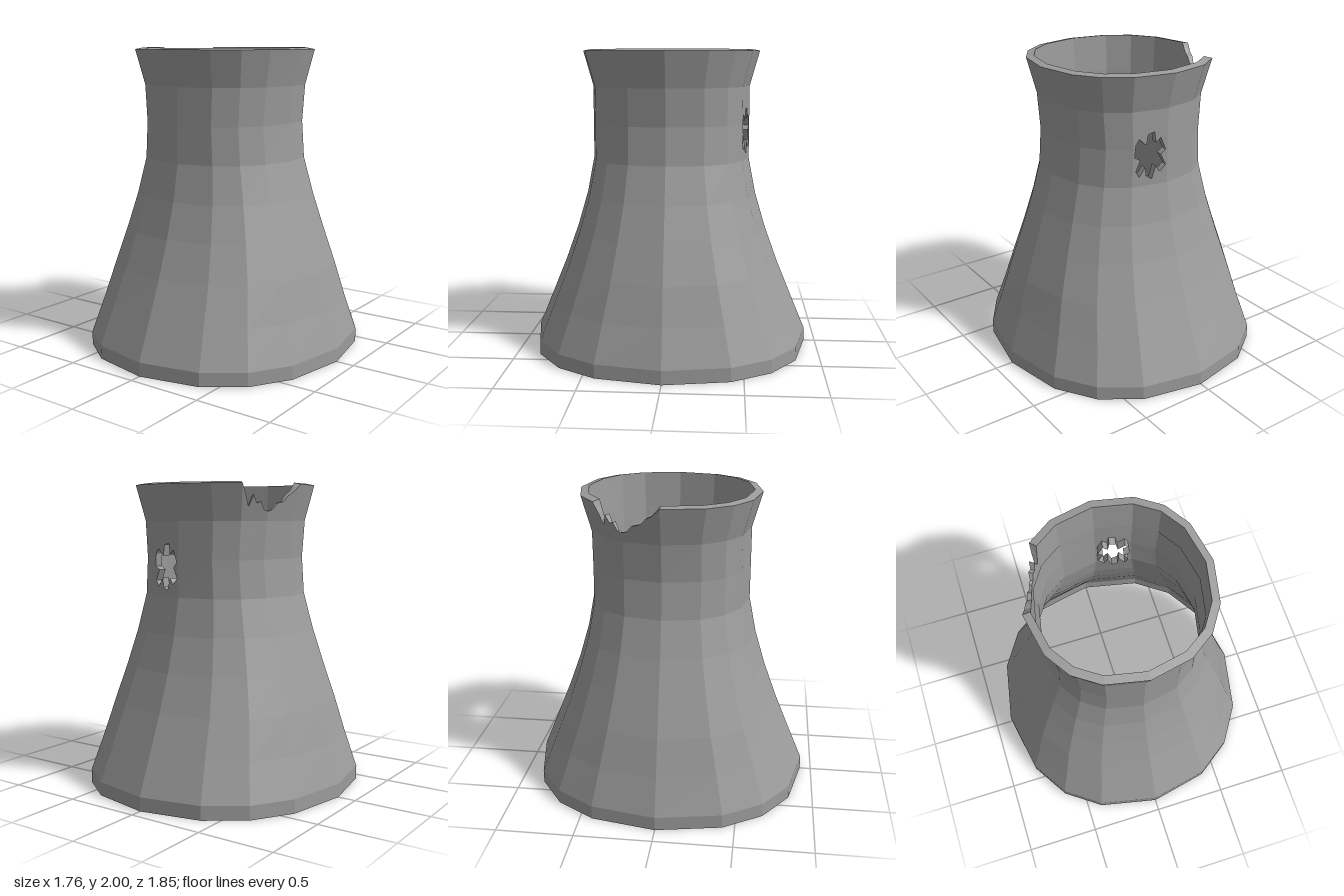
import * as THREE from 'three';
import { mergeGeometries } from 'three/addons/utils/BufferGeometryUtils.js';

const concrete = new THREE.MeshStandardMaterial({
  name: 'grey concrete', color: 0x9c9c9c, flatShading: true, side: THREE.DoubleSide,
});

// Unit plan: 16 directions, starting at the front and turning towards +x
const quarter = [[0, 1], [0.455, 0.91], [0.727, 0.727], [0.909, 0.455]];
const plan = [];
for (let q = 0; q < 4; q++) {
  for (const [a, b] of quarter) plan.push([[a, b], [b, -a], [-a, -b], [-b, a]][q]);
}

// Profiles: height, half width, half depth
const outer = [
  [0, 0.88, 0.925], [0.09, 0.88, 0.925], [0.33, 0.805, 0.825], [0.57, 0.74, 0.727],
  [0.81, 0.662, 0.64], [1.04, 0.588, 0.572], [1.28, 0.52, 0.525], [1.52, 0.5, 0.525],
  [1.76, 0.52, 0.525], [1.99, 0.577, 0.59],
];
const inner = [[1.76, 0.515, 0.522], [2, 0.528, 0.537]];

// Point on a wall: u is the position round the plan, y the height
function onWall(profile, u, y) {
  const top = profile[profile.length - 1][0];
  const h = Math.min(Math.max(y, profile[0][0]), top);
  let k = 0;
  while (k < profile.length - 2 && h > profile[k + 1][0]) k++;
  const [y0, x0, z0] = profile[k], [y1, x1, z1] = profile[k + 1];
  const t = (h - y0) / (y1 - y0);
  const i = Math.floor(u), f = u - i;
  const a = plan[i % 16], b = plan[(i + 1) % 16];
  return new THREE.Vector3(
    (a[0] + (b[0] - a[0]) * f) * (x0 + (x1 - x0) * t), h,
    (a[1] + (b[1] - a[1]) * f) * (z0 + (z1 - z0) * t));
}

const toVec2 = (pts) => pts.map(([u, y]) => new THREE.Vector2(u, y));

// Flat outline in (u, y) wrapped onto a wall
function patch(profile, outline, hole) {
  const shape = new THREE.Shape(toVec2(outline));
  if (hole) shape.holes.push(new THREE.Path(toVec2(hole)));
  const geo = new THREE.ShapeGeometry(shape).toNonIndexed();
  const pos = geo.attributes.position;
  for (let i = 0; i < pos.count; i++) {
    const p = onWall(profile, pos.getX(i), pos.getY(i));
    pos.setXYZ(i, p.x, p.y, p.z);
  }
  geo.deleteAttribute('uv');
  geo.computeVertexNormals();
  return geo;
}

// Strip of quads between two rows of points
function strip(rowA, rowB) {
  const pts = [];
  for (let i = 0; i < rowA.length - 1; i++) {
    pts.push(rowA[i], rowA[i + 1], rowB[i + 1], rowA[i], rowB[i + 1], rowB[i]);
  }
  const geo = new THREE.BufferGeometry().setFromPoints(pts);
  geo.computeVertexNormals();
  return geo;
}

const rect = (u, y0, y1) => [[u, y0], [u + 1, y0], [u + 1, y1], [u, y1]];

// Broken stretch of the rim and the hole through the neck, as (u, y)
const NOTCH = 10, HOLE = 7;
const notch = [
  [10, 2], [10.12, 1.93], [10.25, 1.85], [10.42, 1.92], [10.55, 1.87], [10.7, 1.88], [10.85, 1.83],
  [11, 1.82], [11.15, 1.83], [11.3, 1.87], [11.5, 1.88], [11.65, 1.92], [11.8, 1.94], [12, 2],
];
const hole = [
  [7.08, 1.55], [7.18, 1.585], [7.38, 1.54], [7.44, 1.61], [7.62, 1.62], [7.66, 1.55], [7.8, 1.58],
  [7.94, 1.5], [7.8, 1.47], [7.95, 1.4], [7.78, 1.36], [7.66, 1.4], [7.56, 1.32], [7.4, 1.34],
  [7.36, 1.4], [7.2, 1.34], [7.1, 1.38], [7.22, 1.45], [7.05, 1.47],
];

// Top row of a side, cut down along the break where there is one
function topRow(u, y1) {
  if (u !== NOTCH && u !== NOTCH + 1) return rect(u, 1.76, y1);
  const cut = notch.filter((p) => p[0] >= u && p[0] <= u + 1).reverse();
  return [[u, 1.76], [u + 1, 1.76], ...cut];
}

export function createModel() {
  const group = new THREE.Group();
  group.name = 'brokenTower';
  const add = (name, geos) => {
    const mesh = new THREE.Mesh(mergeGeometries(geos), concrete);
    mesh.name = name;
    group.add(mesh);
  };

  const wall = [], lining = [], rim = [];
  for (let u = 0; u < 16; u++) {
    for (let k = 0; k < outer.length - 2; k++) {
      if (u === HOLE && (k === 6 || k === 7)) continue;
      wall.push(patch(outer, rect(u, outer[k][0], outer[k + 1][0])));
    }
    wall.push(patch(outer, topRow(u, 1.99)));
    lining.push(patch(inner, topRow(u, 2)));
    if (u !== NOTCH && u !== NOTCH + 1) {
      rim.push(strip([onWall(outer, u, 2), onWall(outer, u + 1, 2)],
        [onWall(inner, u, 2), onWall(inner, u + 1, 2)]));
    }
  }
  // Two neck rows on one side, pierced by the hole
  wall.push(patch(outer, [[7, 1.28], [8, 1.28], [8, 1.52], [8, 1.76], [7, 1.76], [7, 1.52]], hole));

  add('outerWall', wall);
  add('innerRimWall', lining);
  add('rim', rim);

  // Broken thickness of the rim
  add('brokenRimEdge', [strip(
    notch.map(([u, y]) => onWall(outer, u, y)), notch.map(([u, y]) => onWall(inner, u, y)))]);

  // Thickness of the wall round the hole, pushed inward square to that side
  const inward = new THREE.Vector3(-0.2, 0, 0.98).multiplyScalar(0.05);
  const edge = [...hole, hole[0]].map(([u, y]) => onWall(outer, u, y));
  add('holeEdge', [strip(edge, edge.map((p) => p.clone().add(inward)))]);

  return group;
}
